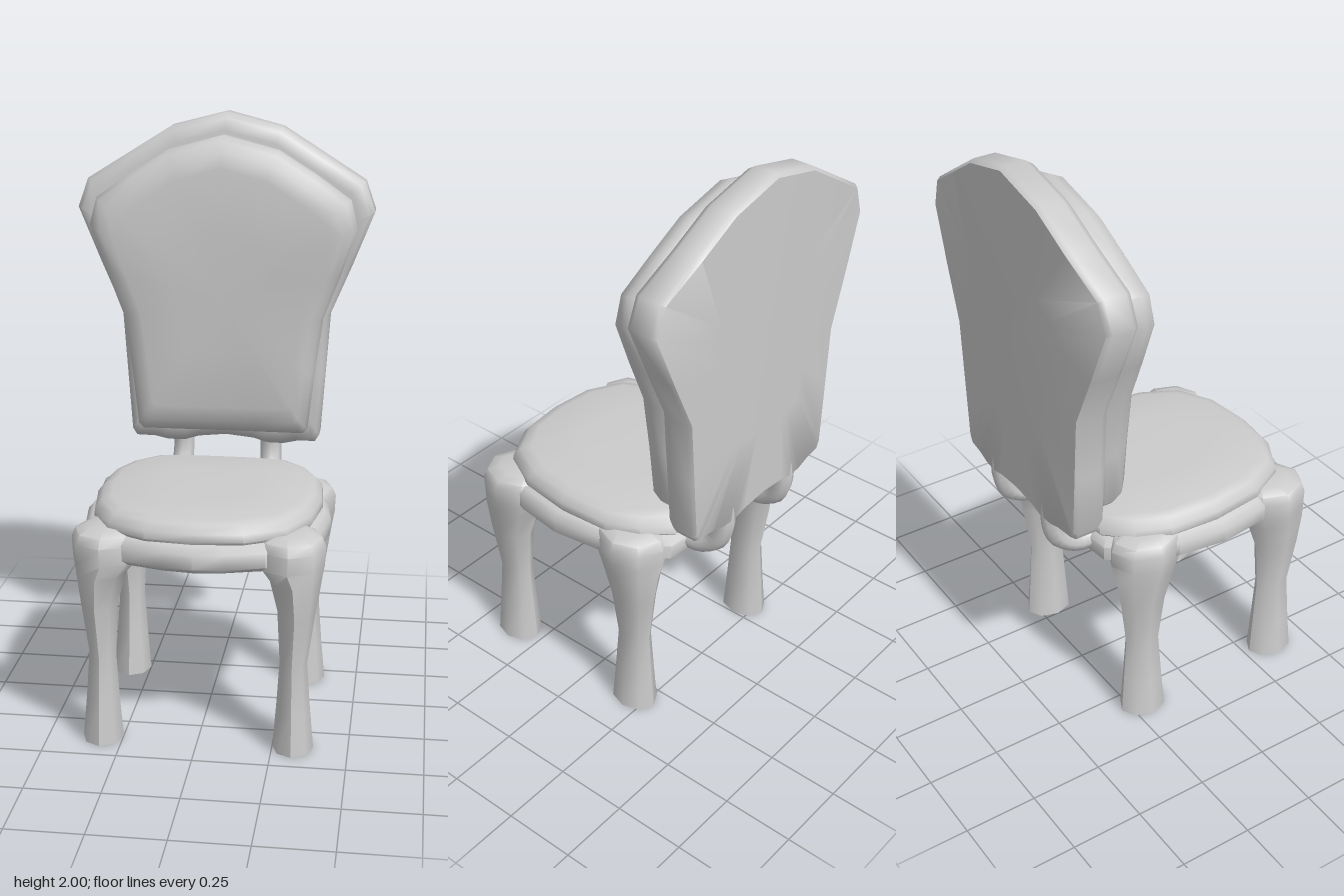
import * as THREE from 'three';
import { toCreasedNormals } from 'three/addons/utils/BufferGeometryUtils.js';

const material = new THREE.MeshStandardMaterial({ color: 0xcccccc });

// Closed skin over counter-clockwise rings of [x, y, z], stacked along +z and capped.
function loft(rings, crease = 0.9) {
  const n = rings[0].length, pos = [], idx = [];
  rings.forEach(r => r.forEach(p => pos.push(...p)));
  for (let i = 0; i < rings.length - 1; i++) {
    for (let j = 0; j < n; j++) {
      const k = (j + 1) % n, a = i * n, b = a + n;
      idx.push(a + j, a + k, b + k, a + j, b + k, b + j);
    }
  }
  const cap = (ring, base, flip) => {
    const c = pos.length / 3;
    pos.push(...[0, 1, 2].map(d => ring.reduce((s, p) => s + p[d], 0) / n));
    for (let j = 0; j < n; j++) {
      const k = (j + 1) % n;
      idx.push(c, base + (flip ? k : j), base + (flip ? j : k));
    }
  };
  cap(rings[0], 0, true);
  cap(rings[rings.length - 1], (rings.length - 1) * n, false);
  const g = new THREE.BufferGeometry();
  g.setAttribute('position', new THREE.Float32BufferAttribute(pos, 3));
  g.setIndex(idx);
  return toCreasedNormals(g, crease);
}

// Mirrors a half outline (bottom centre, right side, top centre) in x.
function mirrored(half) {
  return [...half, ...half.slice(1, -1).reverse().map(([x, y]) => [-x, y])];
}

// Padded slab: the outline is scaled about centre cy at each [scale, z] layer; bend curves it in x.
function slab(half, cy, layers, bend = 0, crease = 0.9) {
  const outline = mirrored(half);
  return loft(layers.map(([s, z]) => outline.map(([x, y]) =>
    [x * s, cy + (y - cy) * s, z + bend * x * x * s * s])), crease);
}

export function createModel() {
  const group = new THREE.Group();
  const add = (name, geometry) => {
    const mesh = new THREE.Mesh(geometry, material);
    mesh.name = name;
    group.add(mesh);
  };

  // Backrest panel, fanning out towards the shoulders
  add('backPanel', slab(
    [[0, 0.845], [0.1, 0.835], [0.15, 0.82], [0.21, 0.82], [0.26, 0.832], [0.325, 0.835], [0.34, 0.86],
      [0.355, 1.08], [0.37, 1.3], [0.445, 1.48], [0.52, 1.67], [0.485, 1.77], [0.34, 1.86], [0.195, 1.95], [0, 2]],
    1.42,
    [[0.04, -0.488], [0.5, -0.488], [0.98, -0.487], [1, -0.472], [1, -0.4], [0.97, -0.375], [0.9, -0.362], [0.5, -0.36]],
    0.13));

  // Backrest cushion
  add('backCushion', slab(
    [[0, 0.885], [0.15, 0.885], [0.285, 0.887], [0.302, 0.905], [0.323, 1.1], [0.35, 1.3], [0.41, 1.46],
      [0.465, 1.62], [0.44, 1.715], [0.32, 1.8], [0.19, 1.88], [0, 1.93]],
    1.4,
    [[0.5, -0.37], [0.96, -0.37], [1, -0.348], [1, -0.312], [0.97, -0.275], [0.9, -0.25], [0.8, -0.24], [0.4, -0.233]],
    0.13));

  // Seat frame, bowed at the front; outline y is -z before it is laid flat
  add('seatFrame', slab(
    [[0, -0.487], [0.1, -0.475], [0.23, -0.437], [0.34, -0.36], [0.39, -0.24], [0.413, -0.07],
      [0.39, 0.1], [0.35, 0.22], [0.27, 0.32], [0.13, 0.335], [0, 0.335]],
    -0.075,
    [[0.1, 0.637], [0.6, 0.637], [0.95, 0.638], [1, 0.655], [1, 0.705], [0.95, 0.728], [0.5, 0.735]]
  ).rotateX(-Math.PI / 2));

  // Seat cushion
  add('seatCushion', slab(
    [[0, -0.462], [0.16, -0.445], [0.29, -0.375], [0.36, -0.24], [0.385, -0.06], [0.373, 0.12],
      [0.325, 0.23], [0.24, 0.315], [0.12, 0.33], [0, 0.332]],
    -0.065,
    [[0.5, 0.71], [0.95, 0.715], [1, 0.738], [0.99, 0.764], [0.93, 0.789], [0.85, 0.799], [0.45, 0.804]]
  ).rotateX(-Math.PI / 2));

  // Legs: [height, centre x, centre offset in z, radius x, radius z]
  const sections = [
    [0, 0.318, 0.278, 0.068, 0.085], [0.14, 0.317, 0.278, 0.056, 0.075], [0.3, 0.316, 0.278, 0.045, 0.064],
    [0.48, 0.324, 0.282, 0.062, 0.085], [0.59, 0.318, 0.272, 0.085, 0.11], [0.64, 0.3, 0.263, 0.112, 0.124],
    [0.7, 0.302, 0.262, 0.113, 0.126], [0.73, 0.3, 0.258, 0.103, 0.116], [0.745, 0.295, 0.25, 0.07, 0.08],
  ];
  const midZ = 0.078, sides = 8;
  for (const sx of [-1, 1]) {
    for (const sz of [-1, 1]) {
      const rings = sections.map(([y, cx, cz, rx, rz]) => Array.from({ length: sides }, (_, i) => {
        const a = i / sides * Math.PI * 2;
        return [sx * cx + rx * Math.cos(a), -(midZ + sz * cz) + rz * Math.sin(a), y];
      }));
      add(`${sz > 0 ? 'front' : 'back'}${sx > 0 ? 'Left' : 'Right'}Leg`, loft(rings).rotateX(-Math.PI / 2));
    }
  }

  // Curved posts joining the seat to the backrest
  for (const sx of [-1, 1]) {
    const path = new THREE.CatmullRomCurve3([
      [0.17, 0.69, -0.27], [0.168, 0.69, -0.36], [0.163, 0.725, -0.42], [0.16, 0.79, -0.447], [0.16, 0.88, -0.447],
    ].map(([x, y, z]) => new THREE.Vector3(sx * x, y, z)));
    add(sx > 0 ? 'leftPost' : 'rightPost', new THREE.TubeGeometry(path, 12, 0.038, 8));
  }
  return group;
}
